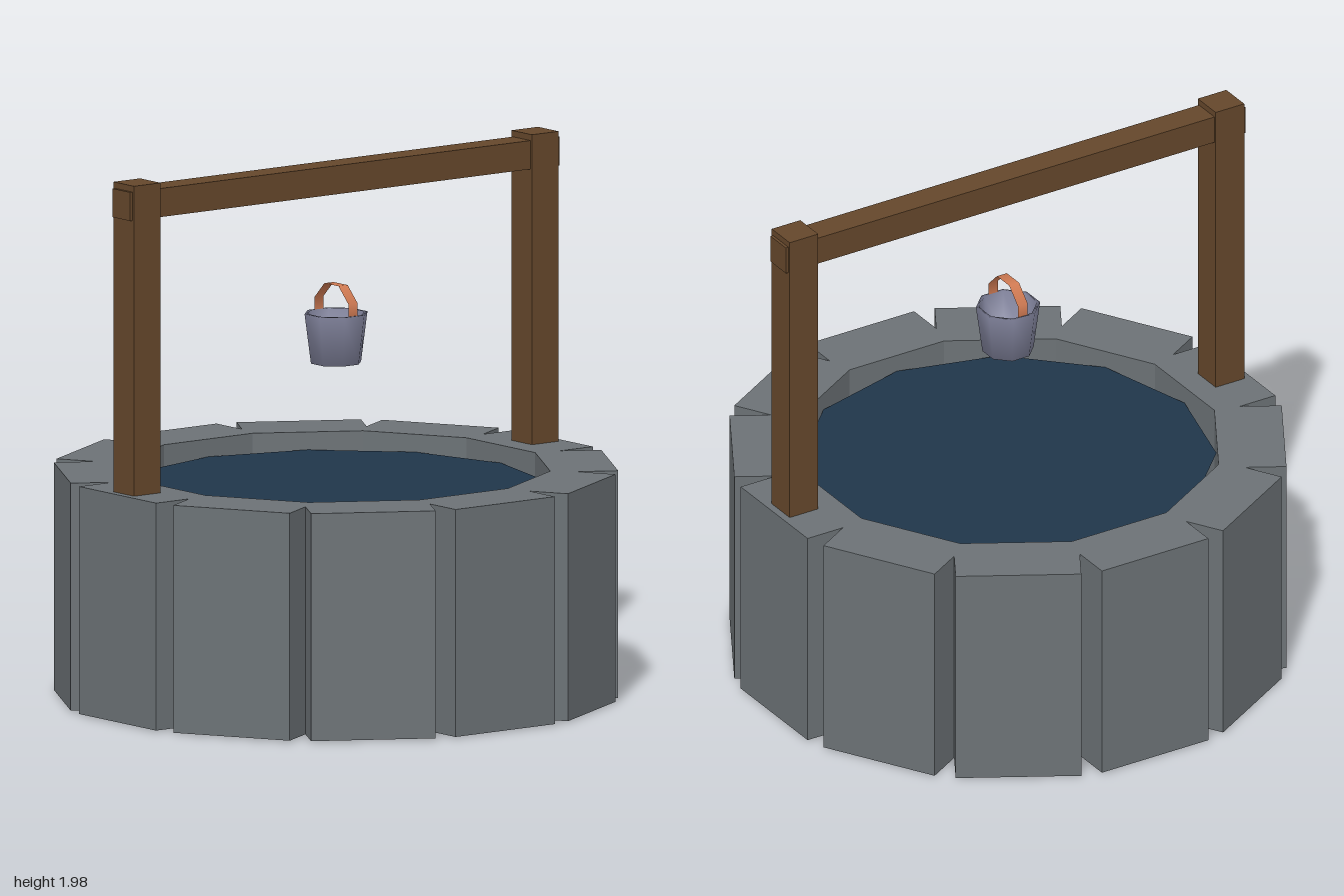
import * as THREE from 'three';

const mat = (name, color, side = THREE.FrontSide) => {
  const m = new THREE.MeshStandardMaterial({ color, side });
  m.name = name;
  return m;
};

export function createModel() {
  const well = new THREE.Group();
  well.name = 'well';
  const stone = mat('grey stone', 0x6c7276);
  const wood = mat('brown wood', 0x65472b);
  const water = mat('dark blue water', 0x20364a, THREE.DoubleSide);
  const metal = mat('bucket metal', 0x8688a2, THREE.DoubleSide);
  const copper = mat('copper handle', 0xd07a52, THREE.DoubleSide);

  const add = (name, geometry, material, x = 0, y = 0, z = 0) => {
    const mesh = new THREE.Mesh(geometry, material);
    mesh.name = name;
    mesh.position.set(x, y, z);
    well.add(mesh);
    return mesh;
  };

  // Ring of twelve stone blocks
  const count = 12, height = 0.835, inner = 0.755, outer = 1;
  const block = new THREE.BoxGeometry(0.455, height, outer - inner);
  const radius = (inner + outer) / 2;
  for (let i = 0; i < count; i++) {
    const a = (i / count) * Math.PI * 2;
    const mesh = add('stoneBlock' + (i + 1), block, stone, Math.sin(a) * radius, height / 2, Math.cos(a) * radius);
    mesh.rotation.y = a;
  }

  // Water surface just under the rim
  const surface = new THREE.CircleGeometry(inner, count).rotateX(-Math.PI / 2);
  add('water', surface, water, 0, 0.77, 0);

  // Posts run through the wall to its underside
  const post = new THREE.BoxGeometry(0.122, 1.977, 0.122);
  for (const s of [-1, 1]) {
    add(s > 0 ? 'leftPost' : 'rightPost', post, wood, s * 0.911, 1.973 - 1.977 / 2, 0);
  }
  add('crossBeam', new THREE.BoxGeometry(1.966, 0.105, 0.105), wood, 0, 1.898, 0);

  // Eight-sided bucket with thin walls, open at the top
  const profile = [[0, 0], [0.094, 0], [0.118, 0.183], [0.106, 0.183], [0.085, 0.012], [0, 0.012]]
    .map(([r, y]) => new THREE.Vector2(r, y));
  add('bucket', new THREE.LatheGeometry(profile, 8, Math.PI / 8), metal, 0, 1.217, 0);

  // Handle: a bent strip from the front to the back of the rim
  const strip = new THREE.CylinderGeometry(0.109, 0.109, 0.042, 5, 1, true, -Math.PI / 8, Math.PI * 1.25);
  strip.rotateZ(Math.PI / 2);
  add('bucketHandle', strip, copper, 0, 1.404, 0);

  return well;
}
